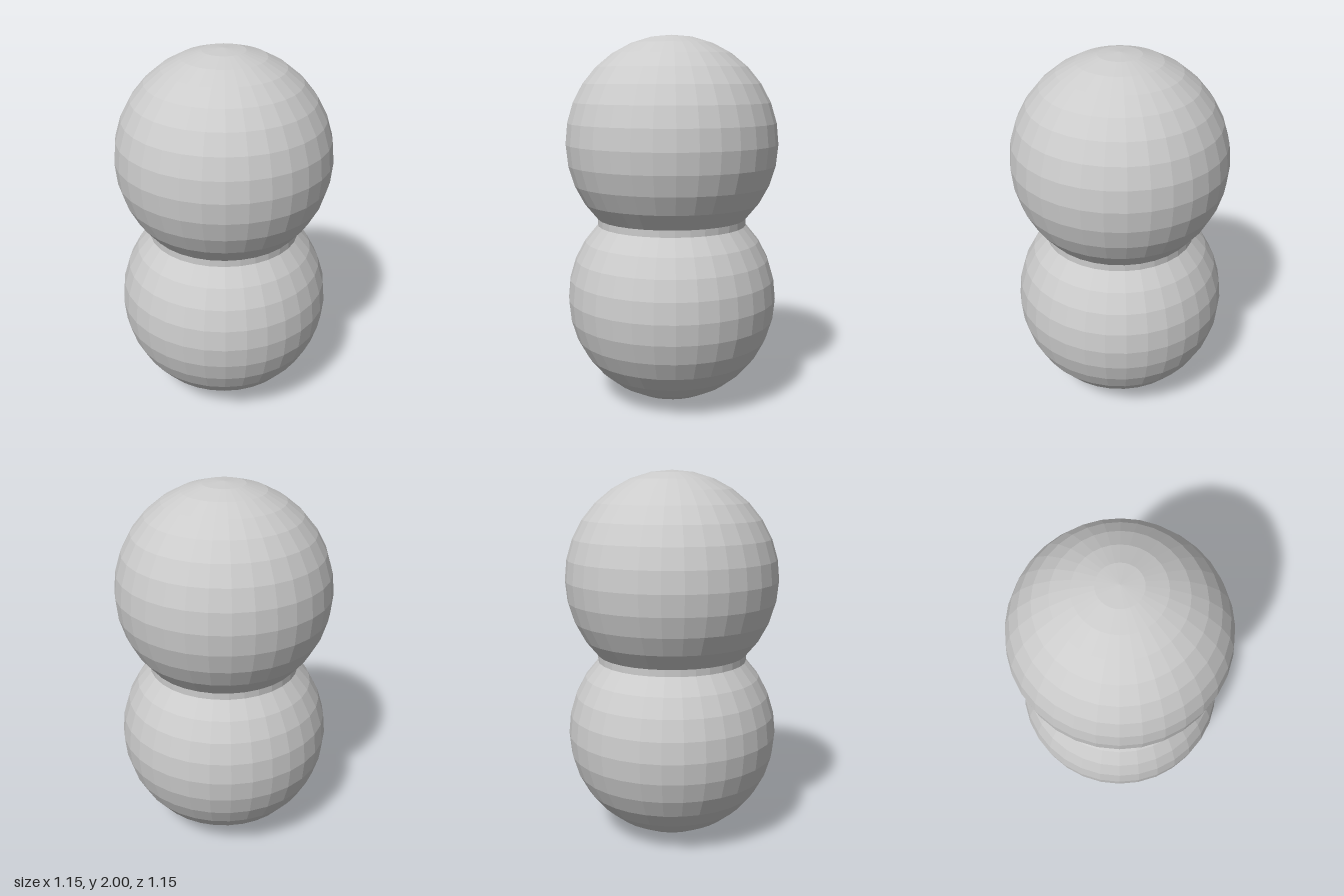
import * as THREE from 'three';

const RADIUS = 0.575;
const SIDES = 32;
const STEP = Math.PI / 16;

export function createModel() {
  const group = new THREE.Group();
  const material = new THREE.MeshStandardMaterial({ color: 0xcccccc, flatShading: true });

  function addLathe(name, points) {
    const mesh = new THREE.Mesh(new THREE.LatheGeometry(points, SIDES), material);
    mesh.name = name;
    group.add(mesh);
  }

  // Part of a sphere's profile, from ring `first` to ring `last` counted up from the bottom pole
  function arc(centerY, first, last) {
    const points = [];
    for (let i = first; i <= last; i++) {
      const r = i % 16 === 0 ? 0 : RADIUS * Math.sin(i * STEP);
      points.push(new THREE.Vector2(r, centerY - RADIUS * Math.cos(i * STEP)));
    }
    return points;
  }

  // Two balls, each cut open at 45 degrees where they meet
  const lower = arc(RADIUS, 0, 12);
  const upper = arc(2 - RADIUS, 4, 16);
  addLathe('lowerBall', lower);
  addLathe('upperBall', upper);

  // Narrow straight band joining the two cut rims
  addLathe('waistBand', [lower[lower.length - 1], upper[0]]);

  return group;
}
